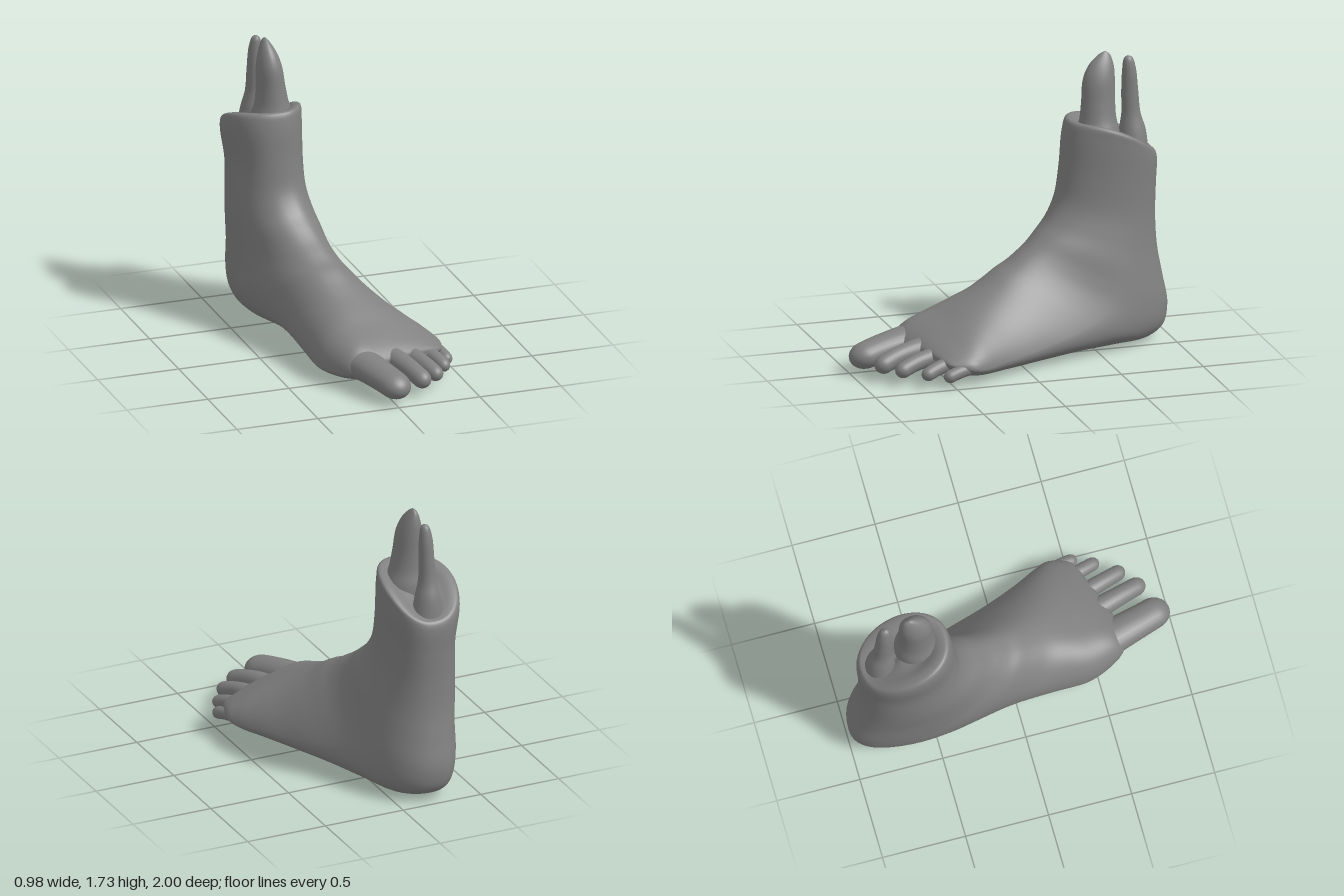
import * as THREE from 'three';

const material = new THREE.MeshStandardMaterial({ color: 0x808080 });

// Smooth skin over rows of points; each row is a closed ring
function skin(name, rows) {
  const n = rows[0].length;
  const index = [];
  for (let i = 0; i < rows.length - 1; i++) {
    for (let j = 0; j < n; j++) {
      const k = (j + 1) % n;
      const a = i * n + j, b = i * n + k, c = a + n, d = b + n;
      index.push(a, c, b, b, c, d);
    }
  }
  const geometry = new THREE.BufferGeometry().setFromPoints(rows.flat());
  geometry.setIndex(index);
  geometry.computeVertexNormals();
  const mesh = new THREE.Mesh(geometry, material);
  mesh.name = name;
  return mesh;
}

// Runs a spline through matching points of each ring
function splineRows(rings, steps) {
  const columns = rings[0].map((_, j) => new THREE.CatmullRomCurve3(rings.map((r) => r[j])));
  const rows = [];
  for (let i = 0; i <= steps; i++) rows.push(columns.map((c) => c.getPoint(i / steps)));
  return rows;
}

// Sections fan from the cut leg, round the heel, to the forefoot:
// front/top z, y; back/bottom z, y; right and left edge x; top and bottom x;
// widest place along the section; slant of the toe line
const ANKLE = [
  [-0.66, 1.21, -0.70, 1.20, -0.26, -0.22, -0.24, -0.24, 0.5, 0],
  [-0.55, 1.26, -0.82, 1.16, -0.36, -0.13, -0.24, -0.24, 0.5, 0],
  [-0.46, 1.335, -0.90, 1.14, -0.43, -0.07, -0.23, -0.24, 0.5, 0],
  [-0.41, 1.345, -0.925, 1.13, -0.475, -0.035, -0.23, -0.24, 0.5, 0],
  [-0.385, 1.27, -0.94, 1.09, -0.488, -0.03, -0.23, -0.24, 0.5, 0],
  [-0.36, 1.05, -0.935, 0.92, -0.46, -0.03, -0.23, -0.24, 0.5, 0],
  [-0.33, 0.88, -0.93, 0.74, -0.465, -0.02, -0.22, -0.24, 0.5, 0],
  [-0.27, 0.77, -0.94, 0.55, -0.465, 0.01, -0.19, -0.24, 0.5, 0],
  [-0.20, 0.70, -0.97, 0.38, -0.455, 0.04, -0.16, -0.24, 0.5, 0],
  [-0.13, 0.64, -1.00, 0.20, -0.45, 0.065, -0.13, -0.24, 0.53, 0],
  [-0.07, 0.60, -0.97, 0.08, -0.445, 0.09, -0.11, -0.23, 0.56, 0],
  [0.00, 0.555, -0.86, 0.02, -0.44, 0.125, -0.09, -0.20, 0.58, 0],
];
const FOREFOOT = [
  [0.07, 0.52, -0.65, 0.01, -0.42, 0.17, -0.08, -0.17, 0.63, 0],
  [0.15, 0.47, -0.40, 0.015, -0.385, 0.23, -0.07, -0.10, 0.68, 0],
  [0.24, 0.42, -0.12, 0.01, -0.345, 0.305, -0.06, -0.02, 0.72, 0],
  [0.33, 0.37, 0.15, 0.005, -0.315, 0.385, -0.06, 0.04, 0.72, 0.1],
  [0.42, 0.32, 0.36, 0.01, -0.295, 0.45, -0.06, 0.08, 0.72, 0.2],
  [0.54, 0.262, 0.5, 0.025, -0.22, 0.475, -0.05, 0.1, 0.65, 0.35],
  [0.61, 0.218, 0.57, 0.05, -0.17, 0.46, 0, 0.1, 0.6, 0.35],
  [0.65, 0.175, 0.62, 0.085, -0.11, 0.43, 0.05, 0.12, 0.5, 0.35],
  [0.65, 0.135, 0.65, 0.125, -0.04, 0.38, 0.1, 0.12, 0.5, 0.35],
];

function section([zT, yT, zB, yB, xL, xR, xT, xB, m, k], count = 56) {
  const ring = [];
  for (let j = 0; j < count; j++) {
    const a = (j / count) * Math.PI * 2;
    const s = Math.abs(Math.sin(a)), c = Math.cos(a);
    const edge = Math.sin(a) >= 0 ? xR : xL;
    const t = c > 0 ? m * (1 - c) : m - (1 - m) * c;
    const middle = c > 0 ? xT : xB;
    const x = middle + (edge - middle) * s ** 0.87;
    let y = yT + (yB - yT) * t;
    // the cut rim stays high at the sides and drops at the back
    const lift = Math.sin(a) > 0 ? 0.055 : 0.04;
    y += lift * s * s * THREE.MathUtils.smoothstep(yT, 1.05, 1.3);
    const z = zT + (zB - zT) * t - k * (x - 0.1);
    ring.push(new THREE.Vector3(x, y, z));
  }
  return ring;
}

function makeFoot() {
  const rows = splineRows([...ANKLE, ...FOREFOOT].map((s) => section(s)), 110);
  // lifts the sole into an arch on the big toe side
  for (const p of rows.flat()) {
    const side = 1 - THREE.MathUtils.smoothstep(p.x, -0.4, 0.1);
    const low = 1 - THREE.MathUtils.smoothstep(p.y, 0, 0.4);
    p.y += 0.07 * side * low * Math.exp(-(((p.z + 0.05) / 0.3) ** 2));
    p.y = Math.max(p.y, 0);
  }
  return skin('footAndAnkle', rows);
}

// Toe: a bent, round-ended finger, thicker at its root by the given spread
function makeToe(name, base, bend, tip, radius, flatness, spread) {
  const path = new THREE.QuadraticBezierCurve3(
    new THREE.Vector3(...base), new THREE.Vector3(...bend), new THREE.Vector3(...tip));
  const start = 1 - (radius * 1.1) / path.getLength();
  const rows = [];
  for (let i = 0; i <= 28; i++) {
    const s = Math.sin((i / 28) * Math.PI / 2);
    const p = path.getPointAt(s), d = path.getTangentAt(s);
    const side = new THREE.Vector3(d.z, 0, -d.x).normalize();
    const up = new THREE.Vector3().crossVectors(d, side);
    const e = Math.max(0, (s - start) / (1 - start));
    const r = radius * (1 + spread * (1 - s) ** 2) * Math.sqrt(Math.max(1e-5, 1 - e * e));
    const row = [];
    for (let j = 0; j < 24; j++) {
      const a = (j / 24) * Math.PI * 2;
      row.push(p.clone().addScaledVector(side, r * Math.sin(a))
        .addScaledVector(up, r * flatness * Math.cos(a)));
    }
    rows.push(row);
  }
  return skin(name, rows);
}

// Bone: oval rings from tip down, each y, x, z, x radius, z radius
function makeBone(name, levels) {
  const rings = levels.map(([y, x, z, rx, rz]) => {
    const ring = [];
    for (let j = 0; j < 28; j++) {
      const a = (j / 28) * Math.PI * 2;
      ring.push(new THREE.Vector3(x + rx * Math.sin(a), y, z + rz * Math.cos(a)));
    }
    return ring;
  });
  return skin(name, splineRows(rings, 40));
}

export function createModel() {
  const model = new THREE.Group();
  model.name = 'foot';
  model.add(makeFoot());

  const toes = [
    ['bigToe', [-0.14, 0.15, 0.4], [-0.055, 0.155, 0.76], [0.045, 0.088, 0.995], 0.092, 0.83, 0.45],
    ['secondToe', [0.06, 0.14, 0.44], [0.14, 0.175, 0.72], [0.215, 0.08, 0.9], 0.054, 1, 0.5],
    ['middleToe', [0.18, 0.125, 0.38], [0.25, 0.16, 0.64], [0.325, 0.075, 0.81], 0.046, 1, 0.5],
    ['fourthToe', [0.29, 0.11, 0.32], [0.36, 0.145, 0.54], [0.415, 0.068, 0.68], 0.04, 1, 0.5],
    ['littleToe', [0.36, 0.095, 0.27], [0.445, 0.125, 0.42], [0.465, 0.062, 0.565], 0.037, 1, 0.2],
  ];
  for (const toe of toes) model.add(makeToe(...toe));

  model.add(makeBone('shinBone', [
    [1.74, -0.24, -0.635, 0.003, 0.004],
    [1.72, -0.24, -0.63, 0.02, 0.035],
    [1.66, -0.235, -0.61, 0.05, 0.075],
    [1.58, -0.23, -0.595, 0.073, 0.095],
    [1.45, -0.222, -0.588, 0.085, 0.1],
    [1.35, -0.217, -0.585, 0.1, 0.108],
    [1.27, -0.215, -0.585, 0.125, 0.125],
    [1.15, -0.215, -0.585, 0.14, 0.13],
  ]));
  model.add(makeBone('calfBone', [
    [1.7, -0.245, -0.78, 0.003, 0.003],
    [1.685, -0.245, -0.78, 0.022, 0.025],
    [1.62, -0.247, -0.785, 0.038, 0.04],
    [1.48, -0.25, -0.79, 0.045, 0.05],
    [1.35, -0.25, -0.797, 0.052, 0.056],
    [1.25, -0.25, -0.805, 0.075, 0.078],
    [1.12, -0.25, -0.81, 0.1, 0.09],
  ]));
  return model;
}
